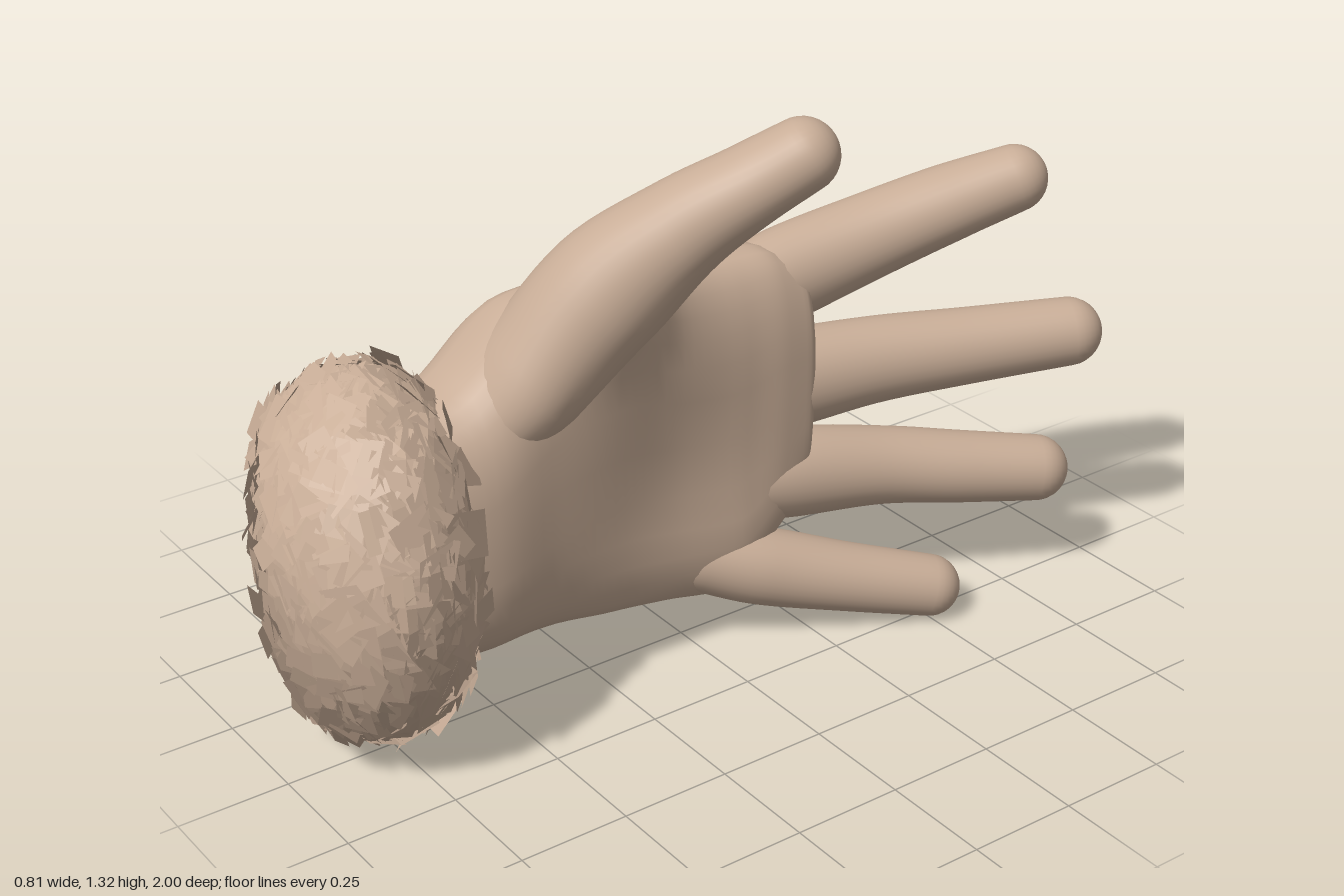
import * as THREE from 'three';
import { mergeGeometries } from 'three/addons/utils/BufferGeometryUtils.js';

const SIDES = 32;

// Smooth loft through sections [x, y, z, radiusUp, radiusSide], ending in a rounded cap
function loft(sections, { cap, dir = null, power = 1, steps = 32, shape = null }) {
  const path = new THREE.CatmullRomCurve3(sections.map(s => new THREE.Vector3(s[0], s[1], s[2])));
  const size = new THREE.CatmullRomCurve3(sections.map(s => new THREE.Vector3(s[3], s[4] ?? s[3], 0)));
  const pos = [], index = [];
  const soft = v => Math.sign(v) * Math.abs(v) ** power;
  const capSteps = 7, rings = steps + 1 + capSteps;
  const start = path.getPoint(0);
  const tip = path.getPoint(1).addScaledVector(dir ?? path.getTangent(1), cap);

  for (let i = 0; i < rings; i++) {
    const t = Math.min(i / steps, 1);
    const a = Math.max(0, i - steps) / (capSteps + 1) * Math.PI / 2;
    const T = dir ?? path.getTangent(t);
    const U = new THREE.Vector3(0, 1, 0).addScaledVector(T, -T.y).normalize();
    const V = new THREE.Vector3().crossVectors(T, U);
    const r = size.getPoint(t);
    const c = path.getPoint(t).addScaledVector(T, cap * Math.sin(a));
    const shrink = Math.cos(a);
    for (let j = 0; j < SIDES; j++) {
      const b = j / SIDES * Math.PI * 2;
      const p = c.clone()
        .addScaledVector(U, r.x * shrink * soft(Math.cos(b)))
        .addScaledVector(V, r.y * shrink * soft(Math.sin(b)));
      if (shape) shape(p, Math.sin(b) * shrink);
      pos.push(p.x, p.y, p.z);
    }
  }
  if (shape) shape(tip, 0);
  const first = rings * SIDES, last = first + 1, end = (rings - 1) * SIDES;
  pos.push(start.x, start.y, start.z, tip.x, tip.y, tip.z);

  for (let j = 0; j < SIDES; j++) {
    const k = (j + 1) % SIDES;
    for (let i = 0; i < rings - 1; i++) {
      const a = i * SIDES + j, b = i * SIDES + k;
      index.push(a, b, b + SIDES, a, b + SIDES, a + SIDES);
    }
    index.push(first, k, j, last, end + j, end + k);
  }
  const g = new THREE.BufferGeometry();
  g.setAttribute('position', new THREE.Float32BufferAttribute(pos, 3));
  g.setIndex(index);
  g.computeVertexNormals();
  return g;
}

// Small seeded generator for the fur
function seeded(seed) {
  return () => {
    seed = (seed * 1664525 + 1013904223) >>> 0;
    return seed / 4294967296;
  };
}

// Puffy, slightly squared pad: point along a direction
function padPoint(d, scale) {
  const rho = Math.hypot(d.x, d.y), n = 2.8;
  const k = (rho ** n + Math.abs(d.z) ** n) ** (-1 / n);
  return d.clone().multiplyScalar(k).multiply(scale);
}

export function createModel() {
  const model = new THREE.Group();
  model.name = 'hand';
  const skin = new THREE.MeshStandardMaterial({ color: 0xc8ad97, side: THREE.DoubleSide });
  skin.name = 'warm beige';
  const add = (name, geometry, parent = model) => {
    const mesh = new THREE.Mesh(geometry, skin);
    mesh.name = name;
    parent.add(mesh);
  };

  // Palm, from the wrist to the knuckles, with a shallow hollow on the inner side
  add('palm', loft([
    [-0.06, 0.47, 0.78, 0.27, 0.15],
    [-0.045, 0.475, 0.57, 0.31, 0.18],
    [-0.045, 0.55, 0.4, 0.39, 0.175],
    [-0.035, 0.565, 0.22, 0.425, 0.162],
    [-0.03, 0.53, 0.06, 0.405, 0.15],
    [-0.015, 0.515, -0.1, 0.4, 0.132],
    [0.0, 0.56, -0.2, 0.352, 0.118],
    [0.015, 0.58, -0.27, 0.3, 0.1],
  ], {
    cap: 0.045, dir: new THREE.Vector3(0, 0, -1), power: 0.76, steps: 44,
    shape: (p, side) => {
      const hollow = Math.exp(-(((p.z - 0.08) / 0.24) ** 2) - ((p.y - 0.48) / 0.2) ** 2);
      if (side > 0) p.x -= 0.04 * hollow * side;
      // The outer edge curls toward the inner side, and so does the thumb web
      p.x += 0.12 * Math.max(0, 0.4 - p.y) * THREE.MathUtils.smoothstep(-p.z, -0.4, 0.2);
      p.x += 0.5 * Math.max(0, p.y - 0.75) * Math.exp(-(((p.z - 0.24) / 0.16) ** 2));
    },
  }));

  // Fingers and thumb, tapering to thin roots buried inside the palm
  const digits = {
    indexFinger: [[-0.02, 0.72, 0.12, 0.03], [-0.015, 0.78, -0.08, 0.085], [-0.01, 0.818, -0.28, 0.107, 0.098],
      [0.035, 0.873, -0.48, 0.097, 0.095], [0.1, 0.932, -0.65, 0.087, 0.09], [0.17, 0.983, -0.785, 0.076]],
    middleFinger: [[-0.02, 0.57, 0.12, 0.03], [-0.01, 0.57, -0.08, 0.085], [0.01, 0.57, -0.28, 0.112, 0.1],
      [0.06, 0.58, -0.48, 0.1, 0.094], [0.145, 0.588, -0.7, 0.088, 0.086], [0.24, 0.6, -0.915, 0.079]],
    ringFinger: [[-0.01, 0.38, 0.12, 0.03], [0.005, 0.365, -0.08, 0.08], [0.03, 0.345, -0.28, 0.104, 0.098],
      [0.09, 0.32, -0.5, 0.09], [0.165, 0.295, -0.67, 0.084], [0.245, 0.275, -0.835, 0.077]],
    littleFinger: [[0.0, 0.27, 0.2, 0.03], [0.03, 0.215, 0.0, 0.07], [0.085, 0.163, -0.17, 0.088],
      [0.17, 0.118, -0.34, 0.079], [0.258, 0.078, -0.512, 0.071]],
    thumb: [[-0.03, 0.6, 0.56, 0.07], [0.015, 0.78, 0.39, 0.125, 0.15], [0.095, 0.96, 0.26, 0.135, 0.135],
      [0.195, 1.105, 0.138, 0.105, 0.108], [0.275, 1.195, 0.035, 0.085, 0.092], [0.325, 1.255, -0.06, 0.077, 0.08]],
  };
  for (const [name, sections] of Object.entries(digits)) {
    add(name, loft(sections, { cap: sections.at(-1)[3] }));
  }

  // Fur cuff: a soft core covered in overlapping tufts
  const cuff = new THREE.Group();
  cuff.name = 'furCuff';
  cuff.position.set(-0.065, 0.445, 0.753);
  cuff.rotation.y = -0.24;
  model.add(cuff);

  const scale = new THREE.Vector3(0.295, 0.38, 0.19);
  const core = new THREE.SphereGeometry(1, 40, 28);
  const at = core.attributes.position, v = new THREE.Vector3();
  for (let i = 0; i < at.count; i++) {
    const p = padPoint(v.fromBufferAttribute(at, i), scale);
    at.setXYZ(i, p.x, p.y, p.z);
  }
  core.computeVertexNormals();
  add('cuffCore', core, cuff);

  // Tufts: square cards, nearly flat on the core, shaded softly as one round mass
  const rand = seeded(7), count = 1000, cards = [];
  const tuft = new THREE.Object3D();
  for (let i = 0; i < count; i++) {
    const z = 1 - 2 * (i + 0.5) / count, r = Math.sqrt(1 - z * z), a = i * 2.39996;
    const d = new THREE.Vector3(r * Math.cos(a), r * Math.sin(a), z);
    const p = padPoint(d, scale);
    const normal = p.clone().divide(scale).divide(scale).normalize();
    tuft.position.copy(p).addScaledVector(normal, 0.004 + 0.014 * rand());
    tuft.quaternion.setFromUnitVectors(new THREE.Vector3(0, 0, 1), normal);
    tuft.rotateZ(rand() * Math.PI * 2);
    tuft.rotateX((rand() - 0.5) * 0.9);
    tuft.updateMatrix();
    const card = new THREE.PlaneGeometry(0.06 + 0.04 * rand(), 0.08 + 0.05 * rand()).applyMatrix4(tuft.matrix);
    const soft = d.multiplyScalar(2).add(normal).normalize();
    for (let j = 0; j < 4; j++) card.attributes.normal.setXYZ(j, soft.x, soft.y, soft.z);
    cards.push(card);
  }
  add('furTufts', mergeGeometries(cards), cuff);

  return model;
}
